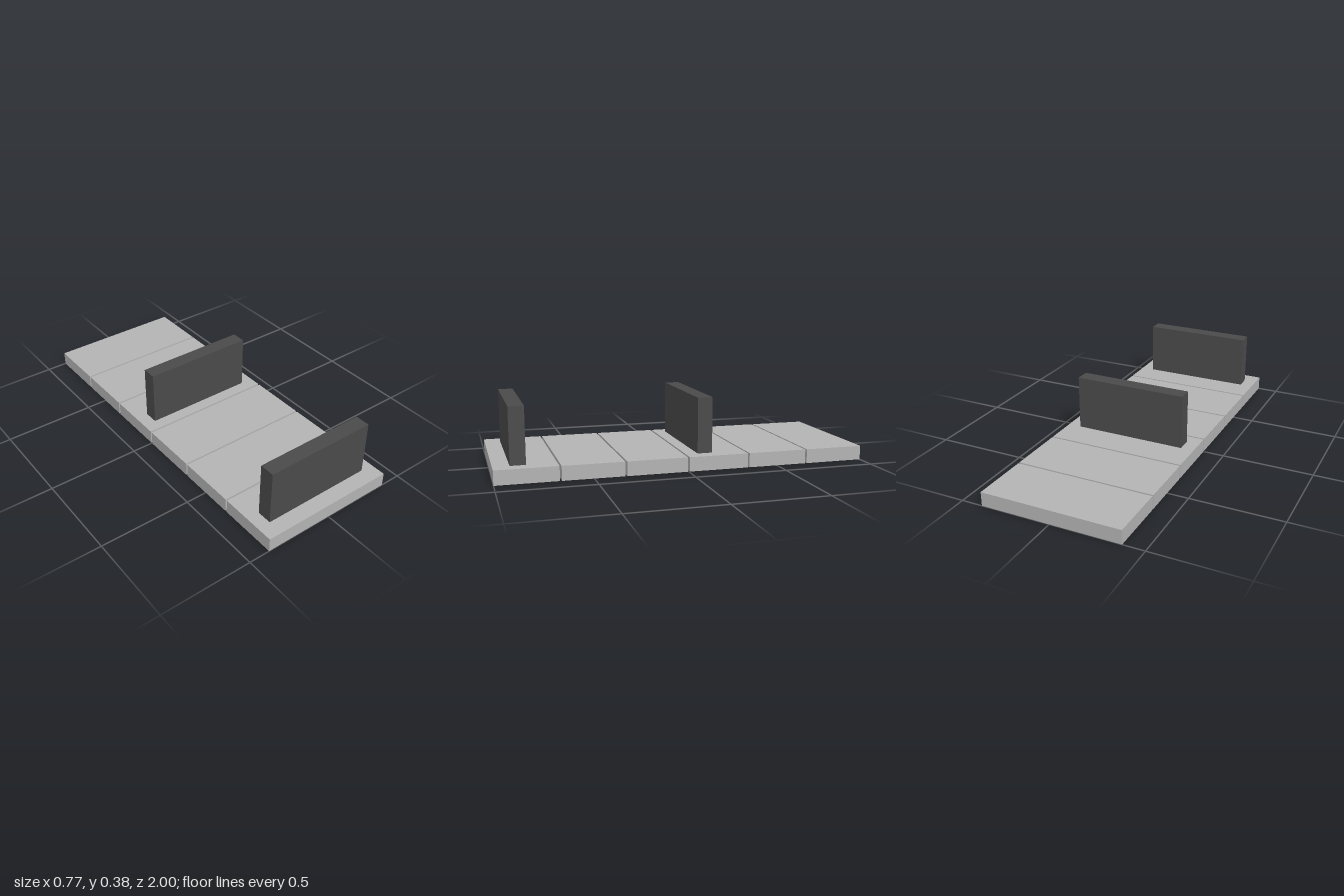
import * as THREE from 'three';

export function createModel() {
  const model = new THREE.Group();
  const slabGrey = new THREE.MeshStandardMaterial({ color: 0xb3b3b3 });
  slabGrey.name = 'slabGrey';
  const wallGrey = new THREE.MeshStandardMaterial({ color: 0x4a4a4a });
  wallGrey.name = 'wallGrey';

  // box standing on height y
  const addBox = (name, w, h, d, y, z, material) => {
    const mesh = new THREE.Mesh(new THREE.BoxGeometry(w, h, d), material);
    mesh.name = name;
    mesh.position.set(0, y + h / 2, z);
    model.add(mesh);
  };

  // row of six floor slabs with narrow gaps
  const thickness = 0.077, length = 0.325, pitch = 0.335;
  for (let i = 0; i < 6; i++) {
    addBox(`floorSlab${i + 1}`, 0.767, thickness, length, 0, (2.5 - i) * pitch, slabGrey);
  }

  // two upright barriers
  addBox('frontBarrier', 0.622, 0.3, 0.081, thickness, 0.873, wallGrey);
  addBox('middleBarrier', 0.622, 0.3, 0.081, thickness, -0.112, wallGrey);

  return model;
}
